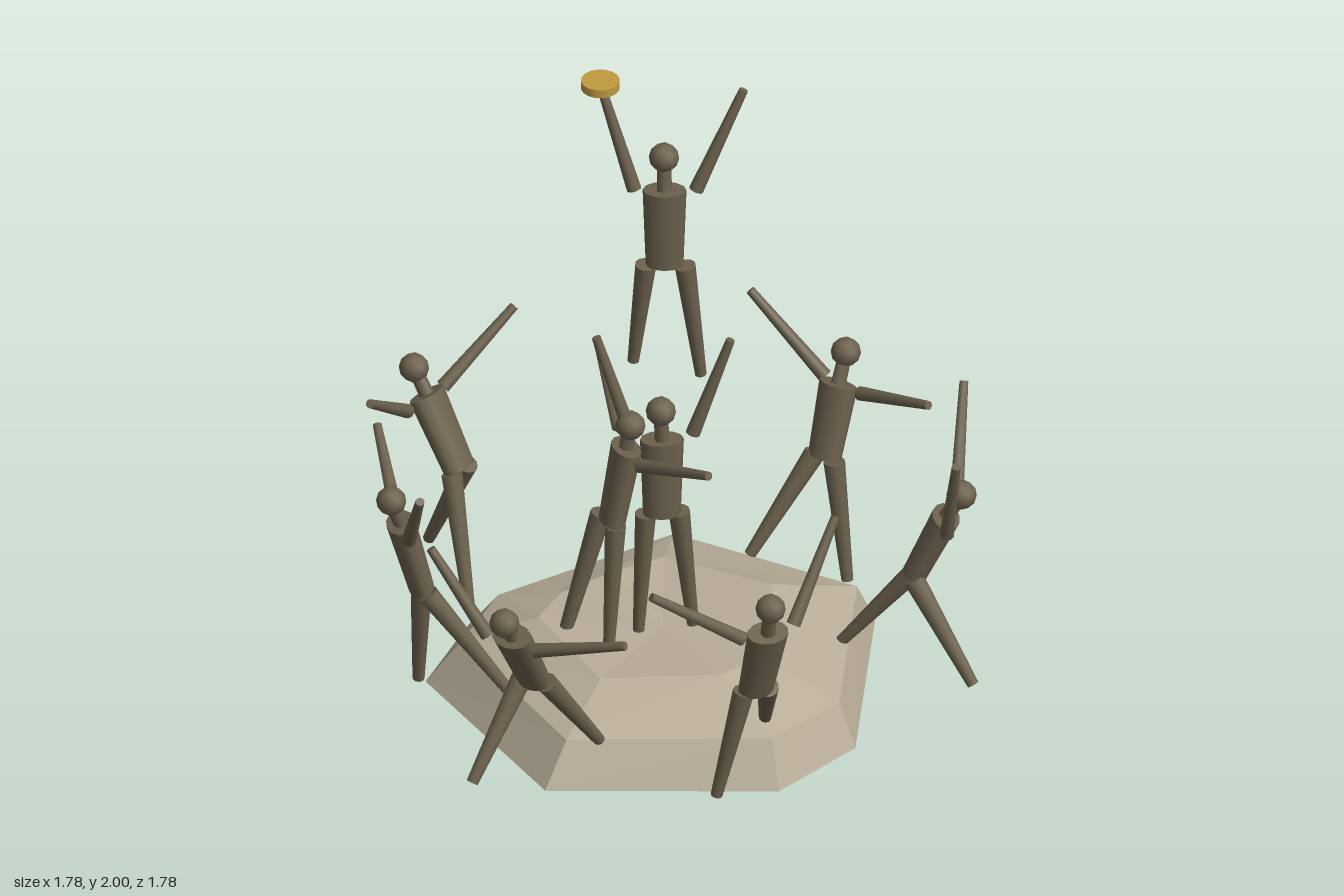
import * as THREE from 'three';

const bronze = new THREE.MeshStandardMaterial({ color: 0x6b604c });
bronze.name = 'bronze';
const stone = new THREE.MeshStandardMaterial({ color: 0xb8ad98, side: THREE.DoubleSide, flatShading: true });
stone.name = 'stone';
const gold = new THREE.MeshStandardMaterial({ color: 0xc09a3e });
gold.name = 'gold';

const V = (p) => new THREE.Vector3(...p);

// Tapered round bar from a to b; ra and rb are the end radii.
function limb(name, a, b, ra, rb, sides = 10) {
  const dir = b.clone().sub(a);
  const mesh = new THREE.Mesh(new THREE.CylinderGeometry(rb, ra, dir.length(), sides), bronze);
  mesh.position.copy(a).lerp(b, 0.5);
  mesh.quaternion.setFromUnitVectors(new THREE.Vector3(0, 1, 0), dir.normalize());
  mesh.name = name;
  return mesh;
}

// Trunk is wider along the shoulder line than front to back.
function trunk(pelvis, chest, across) {
  const up = chest.clone().sub(pelvis);
  const length = up.length();
  up.normalize();
  const side = across.clone().addScaledVector(up, -across.dot(up)).normalize();
  const depth = side.clone().cross(up);
  const geo = new THREE.CylinderGeometry(1, 0.86, length, 12);
  geo.scale(0.062, 1, 0.042);
  const mesh = new THREE.Mesh(geo, bronze);
  mesh.quaternion.setFromRotationMatrix(new THREE.Matrix4().makeBasis(side, up, depth));
  mesh.position.copy(pelvis).lerp(chest, 0.5);
  mesh.name = 'trunk';
  return mesh;
}

function dancer(name, f) {
  const g = new THREE.Group();
  g.name = name;
  const head = V(f.head), chest = V(f.chest), pelvis = V(f.pelvis);
  const skull = new THREE.Mesh(new THREE.IcosahedronGeometry(0.043, 1), bronze);
  skull.position.copy(head);
  skull.name = 'head';
  g.add(skull, limb('neck', chest, head, 0.022, 0.02));
  const [s0, s1] = [V(f.arms[0][0]), V(f.arms[1][0])];
  g.add(trunk(pelvis, chest, s1.sub(s0)));
  for (const [from, to] of f.arms) g.add(limb('arm', V(from), V(to), 0.021, 0.013));
  for (const [from, to] of f.legs) g.add(limb('leg', V(from), V(to), 0.031, 0.017));
  return g;
}

// Joints of each figure: every arm is shoulder to hand, every leg hip to foot.
const figures = {
  topDancer: {
    head: [0.04, 1.76, -0.06], chest: [0.05, 1.66, -0.05], pelvis: [0.05, 1.41, -0.05],
    arms: [[[-0.02, 1.66, 0], [-0.12, 1.98, 0.025]], [[0.12, 1.66, -0.105], [0.2, 1.97, -0.22]]],
    legs: [[[0.01, 1.41, -0.015], [-0.035, 1.07, -0.015]], [[0.1, 1.41, -0.08], [0.125, 1.035, -0.12]]],
  },
  rearBearer: {
    head: [0.08, 0.955, 0.005], chest: [0.08, 0.86, 0], pelvis: [0.08, 0.61, 0],
    arms: [[[0.01, 0.865, 0.05], [-0.085, 1.18, 0.09]], [[0.14, 0.87, -0.065], [0.22, 1.18, -0.135]]],
    legs: [[[0.045, 0.61, 0.03], [0.02, 0.21, 0.03]], [[0.11, 0.61, -0.04], [0.12, 0.21, -0.09]]],
  },
  frontBearer: {
    head: [0.01, 0.905, 0.055], chest: [0, 0.83, 0.06], pelvis: [-0.025, 0.59, 0.095],
    arms: [[[-0.09, 0.82, -0.02], [-0.29, 0.94, -0.18]], [[0.08, 0.82, 0.1], [0.37, 0.93, 0.155]]],
    legs: [[[-0.075, 0.59, 0.08], [-0.16, 0.14, 0.16]], [[0, 0.59, 0.11], [0, 0.2, 0.14]]],
  },
  ringDancerBack: {
    head: [0.07, 0.715, -0.85], chest: [0.075, 0.63, -0.81], pelvis: [0.08, 0.42, -0.74],
    arms: [[[0.01, 0.62, -0.83], [-0.21, 0.85, -0.77]], [[0.145, 0.62, -0.82], [0.43, 0.72, -0.77]]],
    legs: [[[0.045, 0.42, -0.74], [-0.05, 0.13, -0.565]], [[0.115, 0.42, -0.74], [0.17, 0.05, -0.73]]],
  },
  ringDancerBackLeft: {
    head: [0.77, 0.7, -0.49], chest: [0.73, 0.62, -0.47], pelvis: [0.65, 0.42, -0.43],
    arms: [[[0.71, 0.61, -0.54], [0.565, 0.86, -0.76]], [[0.78, 0.61, -0.41], [0.865, 0.905, -0.345]]],
    legs: [[[0.64, 0.42, -0.46], [0.43, 0.13, -0.37]], [[0.67, 0.42, -0.4], [0.87, 0.14, -0.415]]],
  },
  ringDancerFrontLeft: {
    head: [0.77, 0.76, 0.38], chest: [0.745, 0.66, 0.36], pelvis: [0.67, 0.42, 0.32],
    arms: [[[0.71, 0.66, 0.43], [0.555, 0.85, 0.65]], [[0.785, 0.67, 0.295], [0.79, 0.94, 0.11]]],
    legs: [[[0.65, 0.42, 0.35], [0.58, 0.06, 0.385]], [[0.69, 0.42, 0.29], [0.52, 0.14, 0.09]]],
  },
  ringDancerFront: {
    head: [0.165, 0.695, 0.825], chest: [0.16, 0.63, 0.785], pelvis: [0.15, 0.42, 0.67],
    arms: [[[0.085, 0.61, 0.8], [-0.08, 0.86, 0.85]], [[0.24, 0.61, 0.78], [0.52, 0.71, 0.725]]],
    legs: [[[0.11, 0.42, 0.67], [0.085, 0.15, 0.87]], [[0.185, 0.42, 0.66], [0.21, 0.13, 0.45]]],
  },
  ringDancerFrontRight: {
    head: [-0.435, 0.74, 0.58], chest: [-0.42, 0.66, 0.555], pelvis: [-0.385, 0.43, 0.505],
    arms: [[[-0.475, 0.64, 0.505], [-0.69, 0.76, 0.32]], [[-0.355, 0.65, 0.6], [-0.225, 0.89, 0.715]]],
    legs: [[[-0.405, 0.43, 0.48], [-0.455, 0.06, 0.43]], [[-0.35, 0.43, 0.52], [-0.145, 0.13, 0.41]]],
  },
  ringDancerRight: {
    head: [-0.85, 0.7, -0.05], chest: [-0.805, 0.63, -0.05], pelvis: [-0.69, 0.42, -0.055],
    arms: [[[-0.81, 0.61, -0.13], [-0.73, 0.8, -0.355]], [[-0.81, 0.61, 0.03], [-0.735, 0.8, 0.295]]],
    legs: [[[-0.69, 0.42, -0.09], [-0.86, 0.08, -0.13]], [[-0.69, 0.42, -0.02], [-0.57, 0.07, 0.055]]],
  },
};

// Hollow rock mound: three irregular rings closed by a slightly sunken crown.
function rock() {
  const outline = [[0.68, -0.12], [0.65, 0.19], [0.13, 0.595], [-0.485, 0.36],
    [-0.57, 0.06], [-0.45, -0.24], [-0.35, -0.57], [0.31, -0.68]];
  const ring = (scale, y, wobble) => outline.map(([x, z], i) =>
    [x * scale + 0.02, y + wobble * (i % 2 ? 1 : -1), z * scale - 0.02]);
  const rings = [outline.map(([x, z]) => [x, 0, z]), ring(0.88, 0.13, 0.004), ring(0.52, 0.212, 0.008)];
  const crown = [0.06, 0.2, -0.03];
  const pos = [];
  outline.forEach((_, i) => {
    const j = (i + 1) % outline.length;
    for (let k = 0; k < 2; k++) {
      const [a, b, c, d] = [rings[k][i], rings[k][j], rings[k + 1][i], rings[k + 1][j]];
      pos.push(...a, ...c, ...b, ...b, ...c, ...d);
    }
    pos.push(...rings[2][i], ...crown, ...rings[2][j]);
  });
  const geo = new THREE.BufferGeometry();
  geo.setAttribute('position', new THREE.Float32BufferAttribute(pos, 3));
  geo.computeVertexNormals();
  const mesh = new THREE.Mesh(geo, stone);
  mesh.name = 'rockBase';
  return mesh;
}

export function createModel() {
  const model = new THREE.Group();
  model.name = 'dancerSculpture';
  model.add(rock());
  for (const [name, joints] of Object.entries(figures)) model.add(dancer(name, joints));

  // Small gold disc held up by the top figure
  const disc = new THREE.Mesh(new THREE.CylinderGeometry(0.055, 0.055, 0.026, 16), gold);
  disc.position.set(-0.12, 1.987, 0.027);
  disc.name = 'goldDisc';
  model.add(disc);
  return model;
}
